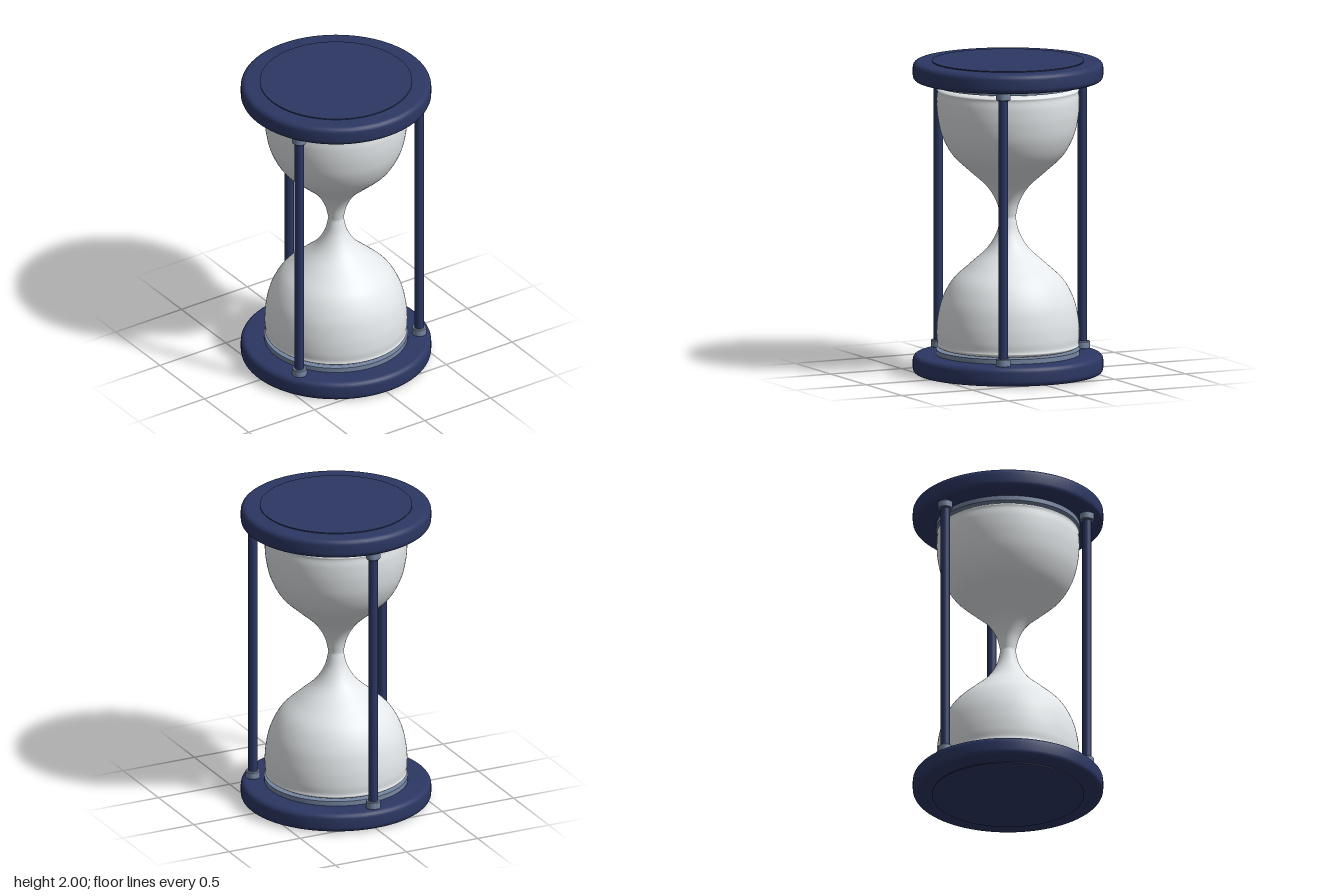
import * as THREE from 'three';
import { toCreasedNormals } from 'three/addons/utils/BufferGeometryUtils.js';

const navy = new THREE.MeshStandardMaterial({ color: 0x2c3763 });
const steel = new THREE.MeshStandardMaterial({ color: 0x7686a2 });
const glass = new THREE.MeshStandardMaterial({ color: 0xe4e8ea });
const V = (x, y) => new THREE.Vector2(x, y);

function add(parent, name, geometry, material, x = 0, y = 0, z = 0) {
  const mesh = new THREE.Mesh(geometry, material);
  mesh.name = name;
  mesh.position.set(x, y, z);
  parent.add(mesh);
  return mesh;
}

// Disc with rounded rims, from y0 to y1
function roundedDisc(radius, y0, y1, fillet) {
  const pts = [V(0, y0)];
  const steps = 6;
  for (const [cy, start] of [[y0 + fillet, -Math.PI / 2], [y1 - fillet, 0]]) {
    for (let i = 0; i <= steps; i++) {
      const a = start + (i / steps) * Math.PI / 2;
      pts.push(V(radius - fillet + fillet * Math.cos(a), cy + fillet * Math.sin(a)));
    }
  }
  pts.push(V(0, y1));
  return toCreasedNormals(new THREE.LatheGeometry(pts, 96), 0.5);
}

// Outline of the lower bulb from rim to neck
function bulbProfile() {
  const wall = new THREE.SplineCurve([
    V(0.43, 0.172), V(0.448, 0.185), V(0.446, 0.205), V(0.45, 0.26), V(0.443, 0.36),
    V(0.415, 0.48), V(0.35, 0.6), V(0.245, 0.7), V(0.135, 0.8), V(0.073, 0.9), V(0.048, 1.0),
  ]).getPoints(60);
  wall[wall.length - 1].set(0.048, 1);
  return [V(0, 0.161), V(0.28, 0.161), V(0.41, 0.166), ...wall];
}

export function createModel() {
  const group = new THREE.Group();
  group.name = 'hourglass';

  // Both ends: plate, inset disc and the seat that holds the bulb
  for (const side of ['bottom', 'top']) {
    const end = new THREE.Group();
    end.name = side + 'End';
    if (side === 'top') {
      end.rotation.x = Math.PI;
      end.position.y = 2;
    }
    add(end, 'plate', roundedDisc(0.6, 0.006, 0.13, 0.035), navy);
    add(end, 'plateDisc', new THREE.CylinderGeometry(0.48, 0.48, 0.02, 96), navy, 0, 0.01);
    add(end, 'bulbSeat', new THREE.CylinderGeometry(0.453, 0.453, 0.035, 96), steel, 0, 0.143);
    group.add(end);
  }

  // Two bulbs joined at the neck, turned as one shape
  const lower = bulbProfile();
  const upper = lower.slice(0, -1).reverse().map((p) => V(p.x, 2 - p.y));
  add(group, 'glassBulbs', new THREE.LatheGeometry([...lower, ...upper], 96), glass);

  // Three posts with a collar at each end
  const postGeometry = new THREE.CylinderGeometry(0.03, 0.03, 1.76, 32);
  const collarGeometry = toCreasedNormals(new THREE.LatheGeometry(
    [V(0, -0.025), V(0.041, -0.025), V(0.046, -0.02), V(0.046, 0.02), V(0.041, 0.025), V(0, 0.025)], 32), 0.5);
  for (let i = 0; i < 3; i++) {
    const a = Math.PI / 6 + (i * Math.PI * 2) / 3;
    const post = new THREE.Group();
    post.name = 'post';
    post.position.set(0.525 * Math.cos(a), 0, 0.525 * Math.sin(a));
    add(post, 'rod', postGeometry, navy, 0, 1);
    add(post, 'lowerCollar', collarGeometry, steel, 0, 0.152);
    add(post, 'upperCollar', collarGeometry, steel, 0, 1.848);
    group.add(post);
  }
  return group;
}
